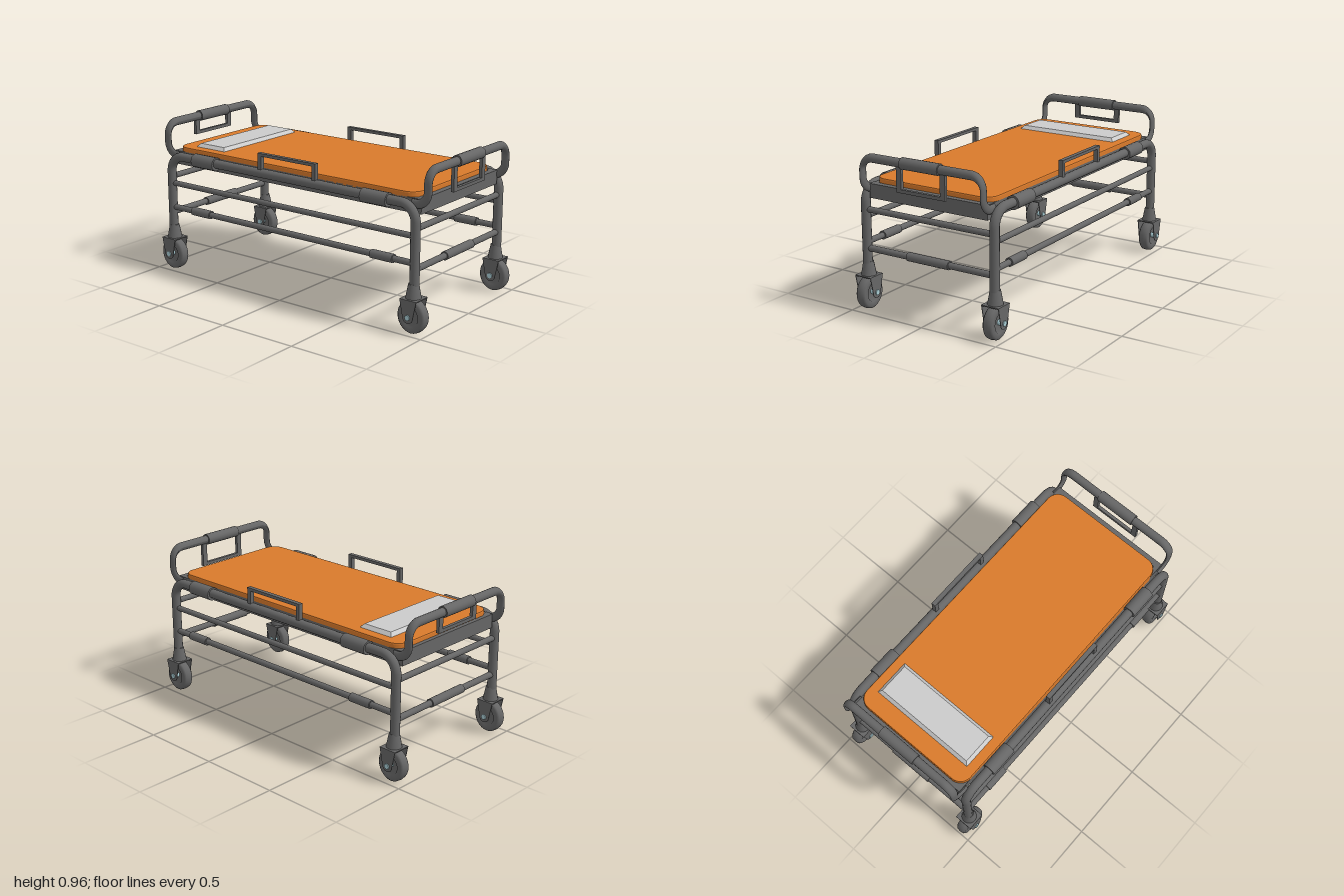
import * as THREE from 'three';

const mat = (color) => new THREE.MeshStandardMaterial({ color });
const steel = mat(0x666666);
const orange = mat(0xd97a2b);
const pale = mat(0xcccccc);
const pinBlue = mat(0xa9cdd4);
const V = (x, y, z) => new THREE.Vector3(x, y, z);

function add(parent, name, geo, material, x = 0, y = 0, z = 0) {
  const m = new THREE.Mesh(geo, material);
  m.name = name;
  m.position.set(x, y, z);
  parent.add(m);
  return m;
}

const box = (parent, name, w, h, d, x, y, z, material = steel) =>
  add(parent, name, new THREE.BoxGeometry(w, h, d), material, x, y, z);

// Straight round bar along the x or z axis
function bar(parent, name, axis, r, length, x, y, z, material = steel) {
  const g = new THREE.CylinderGeometry(r, r, length, 16);
  if (axis === 'x') g.rotateZ(Math.PI / 2);
  if (axis === 'z') g.rotateX(Math.PI / 2);
  return add(parent, name, g, material, x, y, z);
}

// Polyline whose inner corners are rounded off
function roundedPath(points, radius) {
  const path = new THREE.CurvePath();
  let last = points[0];
  for (let i = 1; i < points.length - 1; i++) {
    const p = points[i];
    const a = p.clone().add(points[i - 1].clone().sub(p).setLength(radius));
    const b = p.clone().add(points[i + 1].clone().sub(p).setLength(radius));
    const k = 0.5523;
    path.add(new THREE.LineCurve3(last, a));
    path.add(new THREE.CubicBezierCurve3(a, a.clone().lerp(p, k), b.clone().lerp(p, k), b));
    last = b;
  }
  path.add(new THREE.LineCurve3(last, points[points.length - 1]));
  return path;
}

// Tube along a path; squash flattens its section across x
function bentTube(path, radius, segments, squash = 1) {
  const g = new THREE.TubeGeometry(path, segments, radius, 14);
  if (squash === 1) return g;
  const pos = g.attributes.position;
  for (let i = 0; i < pos.count; i++) {
    const c = path.getPointAt(Math.floor(i / 15) / segments);
    pos.setX(i, c.x + (pos.getX(i) - c.x) * squash);
  }
  g.computeVertexNormals();
  return g;
}

function roundedRect(w, d, r) {
  const s = new THREE.Shape();
  const x = w / 2, y = d / 2;
  s.absarc(x - r, y - r, r, 0, Math.PI / 2);
  s.absarc(-x + r, y - r, r, Math.PI / 2, Math.PI);
  s.absarc(-x + r, -y + r, r, Math.PI, Math.PI * 1.5);
  s.absarc(x - r, -y + r, r, Math.PI * 1.5, Math.PI * 2);
  return s;
}

function makeCaster() {
  const g = new THREE.Group();
  g.name = 'caster';
  add(g, 'casterSocket', new THREE.CylinderGeometry(0.03, 0.046, 0.085, 16), steel, 0, 0.247, 0);
  box(g, 'forkTop', 0.114, 0.006, 0.11, 0, 0.204, 0);
  // Wheel with a recessed disc on each face
  const profile = [[0, -0.02], [0.05, -0.02], [0.056, -0.032], [0.085, -0.032], [0.097, -0.022],
    [0.1, 0], [0.097, 0.022], [0.085, 0.032], [0.056, 0.032], [0.05, 0.02], [0, 0.02]];
  const wheel = new THREE.LatheGeometry(profile.map(([r, h]) => new THREE.Vector2(r, h)), 28);
  wheel.rotateZ(Math.PI / 2);
  wheel.scale(1, 1, 0.92);
  add(g, 'wheel', wheel, steel, 0, 0.1, 0);
  // Tapered fork plates
  const s = new THREE.Shape();
  s.moveTo(0.055, 0.205);
  s.lineTo(-0.055, 0.205);
  s.lineTo(-0.034, 0.105);
  s.absarc(0, 0.105, 0.034, Math.PI, Math.PI * 2);
  s.closePath();
  const plate = new THREE.ExtrudeGeometry(s, { depth: 0.004, bevelEnabled: false, curveSegments: 8 });
  plate.translate(0, 0, -0.002);
  plate.rotateY(Math.PI / 2);
  for (const side of [-1, 1]) add(g, 'forkPlate', plate, steel, side * 0.055, 0, 0);
  bar(g, 'axlePin', 'x', 0.016, 0.127, 0, 0.105, 0, pinBlue);
  return g;
}

export function createModel() {
  const root = new THREE.Group();
  root.name = 'hospitalStretcher';

  // Long sides: leg and rail bent from one tube, with lower bars and guard
  for (const s of [-1, 1]) {
    const x = s * 0.44;
    const side = new THREE.Group();
    side.name = s > 0 ? 'leftSide' : 'rightSide';
    root.add(side);
    const path = roundedPath([V(x, 0.28, 0.915), V(x, 0.738, 0.915), V(x, 0.738, -0.915), V(x, 0.28, -0.915)], 0.1);
    add(side, 'legAndRail', bentTube(path, 0.028, 160), steel);
    for (const z of [0.65, -0.625]) bar(side, 'railCollar', 'z', 0.041, 0.175, x, 0.735, z);
    bar(side, 'upperSideBar', 'z', 0.017, 1.8, x, 0.56, 0);
    bar(side, 'lowerSideBar', 'z', 0.018, 1.8, x, 0.405, 0);
    for (const z of [0.7, -0.665]) bar(side, 'sideBarCollar', 'z', 0.026, 0.15, x, 0.405, z);
    box(side, 'guardTop', 0.028, 0.018, 0.43, x, 0.852, 0.02);
    for (const z of [0.222, -0.182]) box(side, 'guardPost', 0.028, 0.1, 0.026, x, 0.802, z);
    for (const z of [0.91, -0.91]) {
      const caster = makeCaster();
      caster.position.set(x, 0, z);
      side.add(caster);
    }
    box(root, 'frameSide', 0.03, 0.085, 1.84, s * 0.385, 0.7175, 0);
  }

  // Ends: crossbars, frame end, handle loop and hanging bracket
  for (const s of [-1, 1]) {
    const end = new THREE.Group();
    end.name = s > 0 ? 'footEnd' : 'headEnd';
    root.add(end);
    bar(end, 'upperCrossbar', 'x', 0.018, 0.85, 0, 0.602, s * 0.915);
    bar(end, 'lowerCrossbar', 'x', 0.019, 0.85, 0, 0.37, s * 0.915);
    bar(end, 'crossbarCollar', 'x', 0.026, 0.284, 0, 0.37, s * 0.915);
    box(end, 'frameEnd', 0.8, 0.085, 0.04, 0, 0.7175, s * 0.903);
    const z = s * 0.97;
    const path = roundedPath([V(0.408, 0.733, s * 0.87), V(0.408, 0.733, z), V(0.408, 0.926, z),
      V(-0.408, 0.926, z), V(-0.408, 0.733, z), V(-0.408, 0.733, s * 0.87)], 0.075);
    add(end, 'handleLoop', bentTube(path, 0.026, 140, 0.5), steel);
    bar(end, 'handleCollar', 'x', 0.034, 0.256, 0, 0.926, z);
    const low = s > 0 ? 0.757 : 0.812;
    box(end, 'bracketBottom', 0.33, 0.02, 0.02, 0, low + 0.01, z);
    for (const k of [-1, 1]) box(end, 'bracketPost', 0.034, 0.91 - low, 0.02, k * 0.148, (0.91 + low) / 2, z);
  }

  // Mattress with rounded corners and a bevelled edge, and its base panel
  const matGeo = new THREE.ExtrudeGeometry(roundedRect(0.784, 1.77, 0.07), {
    depth: 0.06, bevelThickness: 0.008, bevelSize: 0.008, bevelSegments: 2, curveSegments: 8,
  });
  matGeo.rotateX(-Math.PI / 2);
  add(root, 'mattress', matGeo, orange, 0, 0.722, -0.006);
  box(root, 'basePanel', 0.75, 0.04, 1.78, 0, 0.703, 0, orange);

  // Pillow: a low block with sloping sides
  const pillow = new THREE.BoxGeometry(0.69, 0.024, 0.235);
  const pos = pillow.attributes.position;
  for (let i = 0; i < pos.count; i++) {
    if (pos.getY(i) < 0) continue;
    pos.setX(i, pos.getX(i) - Math.sign(pos.getX(i)) * 0.022);
    pos.setZ(i, pos.getZ(i) - Math.sign(pos.getZ(i)) * 0.022);
  }
  pillow.computeVertexNormals();
  add(root, 'pillow', pillow, pale, 0, 0.799, -0.675);

  return root;
}
